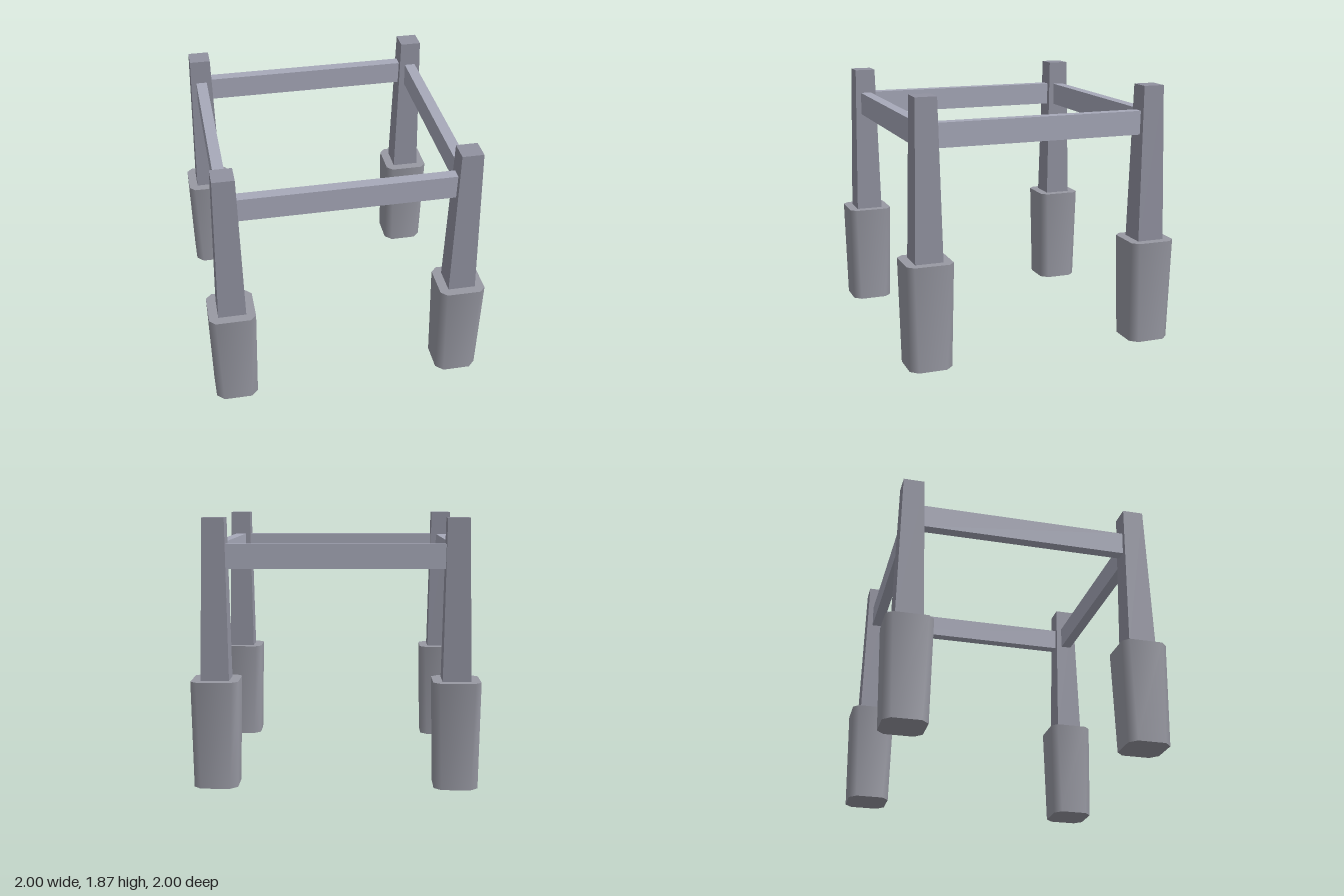
import * as THREE from 'three';
import { mergeGeometries } from 'three/addons/utils/BufferGeometryUtils.js';

const footMaterial = new THREE.MeshStandardMaterial({ color: 0x9899a3 });
const postMaterial = new THREE.MeshStandardMaterial({ color: 0x9192a0 });
const railMaterial = new THREE.MeshStandardMaterial({ color: 0xa7a9b9 });
const CORNER = 0.834;

// Square outline with cut corners, in order around the y axis
function outline(half, cut, y) {
  const points = [];
  const up = new THREE.Vector3(0, 1, 0);
  for (let i = 0; i < 4; i++) {
    for (const [x, z] of [[half, half - cut], [half, cut - half]]) {
      points.push(new THREE.Vector3(x, y, z).applyAxisAngle(up, i * Math.PI / 2));
    }
  }
  return points;
}

function build(points, index) {
  const geometry = new THREE.BufferGeometry().setFromPoints(points);
  geometry.setIndex(index);
  geometry.computeVertexNormals();
  return geometry;
}

// Tapered foot: smooth sides, flat caps with their own vertices
function footGeometry() {
  const low = outline(0.1525, 0.052, 0);
  const high = outline(0.165, 0.043, 0.75);
  const n = low.length;
  const sides = [], top = [], bottom = [];
  for (let i = 0; i < n; i++) {
    const j = (i + 1) % n;
    sides.push(i, j, n + j, i, n + j, n + i);
    if (i > 0 && i < n - 1) {
      top.push(0, i, i + 1);
      bottom.push(0, i + 1, i);
    }
  }
  return mergeGeometries([build([...low, ...high], sides), build(high, top), build(low, bottom)]);
}

// Square post that narrows towards its top
function postGeometry() {
  const bottomY = 0.74, topY = 1.87;
  const geometry = new THREE.BoxGeometry(1, topY - bottomY, 1);
  geometry.translate(0, (topY + bottomY) / 2, 0);
  const p = geometry.attributes.position;
  for (let i = 0; i < p.count; i++) {
    const width = p.getY(i) > 1 ? 0.152 : 0.198;
    p.setX(i, p.getX(i) * width);
    p.setZ(i, p.getZ(i) * width);
  }
  geometry.computeVertexNormals();
  return geometry;
}

export function createModel() {
  const model = new THREE.Group();
  model.name = 'postFrame';
  const foot = footGeometry();
  const post = postGeometry();
  const rail = new THREE.BoxGeometry(1.51, 0.17, 0.08);

  const add = (parent, name, geometry, material) => {
    const mesh = new THREE.Mesh(geometry, material);
    mesh.name = name;
    parent.add(mesh);
    return mesh;
  };

  // Four legs, each a post standing on a foot
  for (const x of [-1, 1]) {
    for (const z of [-1, 1]) {
      const leg = new THREE.Group();
      leg.name = (z > 0 ? 'front' : 'back') + (x > 0 ? 'Left' : 'Right') + 'Leg';
      leg.position.set(x * CORNER, 0, z * CORNER);
      add(leg, 'foot', foot, footMaterial);
      add(leg, 'post', post, postMaterial);
      model.add(leg);
    }
  }

  // Four rails joining the posts
  ['frontRail', 'leftRail', 'backRail', 'rightRail'].forEach((name, i) => {
    const angle = i * Math.PI / 2;
    const mesh = add(model, name, rail, railMaterial);
    mesh.position.set(Math.sin(angle) * CORNER, 1.605, Math.cos(angle) * CORNER);
    mesh.rotation.y = angle;
  });

  return model;
}
